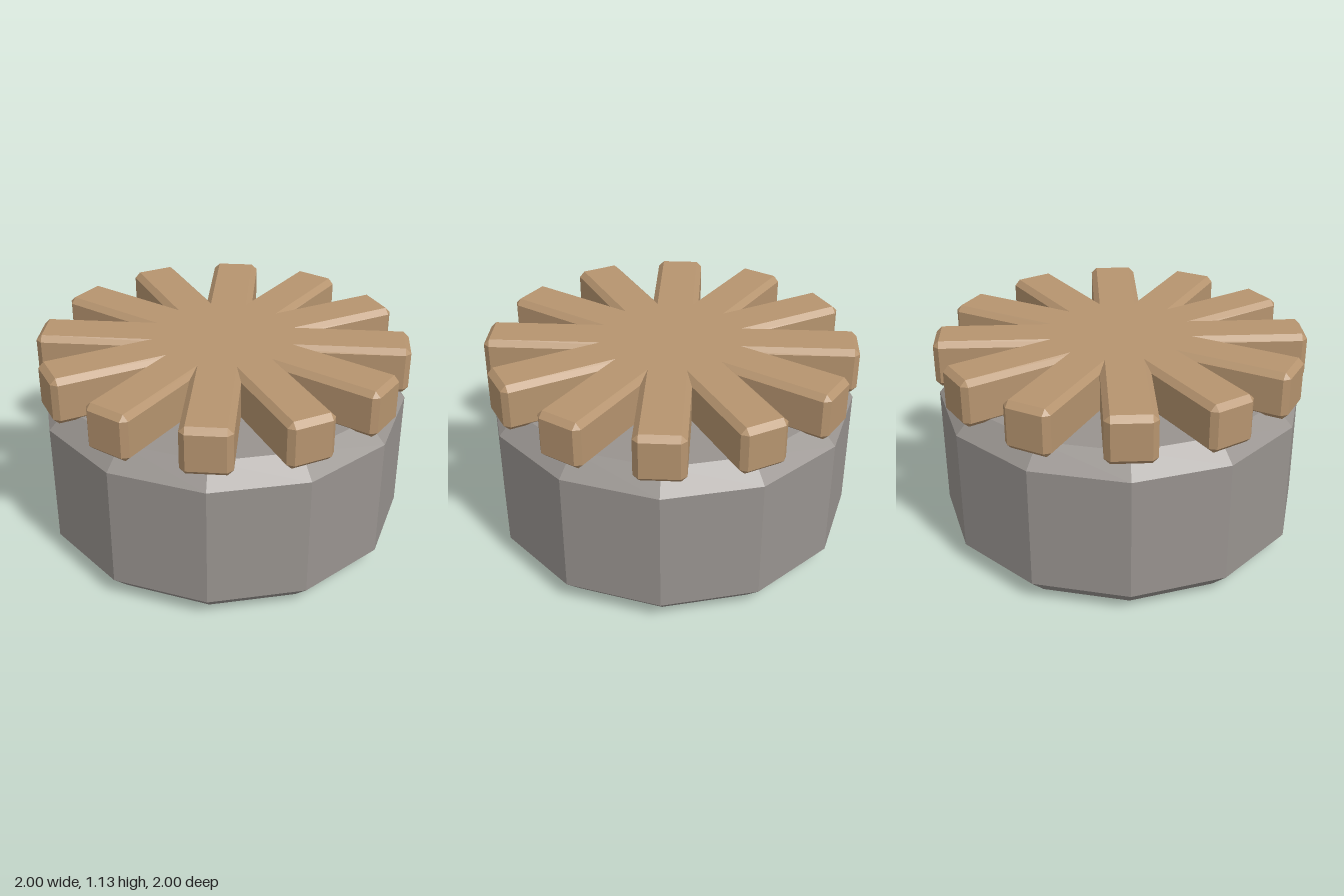
import * as THREE from 'three';
import { ConvexGeometry } from 'three/addons/geometries/ConvexGeometry.js';

// Box with every edge and corner cut at 45 degrees
function chamferedBox(w, h, d, c) {
  const points = [];
  for (const sx of [-1, 1]) for (const sy of [-1, 1]) for (const sz of [-1, 1]) {
    const x = w / 2, y = h / 2, z = d / 2;
    points.push(
      new THREE.Vector3(sx * x, sy * (y - c), sz * (z - c)),
      new THREE.Vector3(sx * (x - c), sy * y, sz * (z - c)),
      new THREE.Vector3(sx * (x - c), sy * (y - c), sz * z)
    );
  }
  return new ConvexGeometry(points);
}

export function createModel() {
  const model = new THREE.Group();
  model.name = 'spokedDrum';

  const stone = new THREE.MeshStandardMaterial({ color: 0x98938f, flatShading: true });
  stone.name = 'stone grey';
  const wood = new THREE.MeshStandardMaterial({ color: 0xb6946f, flatShading: true });
  wood.name = 'wood brown';

  // Twelve-sided drum, bevelled at top and bottom
  const profile = [[0, 0], [0.89, 0], [1, 0.11], [1, 0.785], [0.89, 0.895], [0, 0.895]]
    .map(([r, y]) => new THREE.Vector2(r, y));
  const drum = new THREE.Mesh(new THREE.LatheGeometry(profile, 12), stone);
  drum.name = 'drum';
  model.add(drum);

  // Six crossed bars make the twelve spokes
  const spokes = new THREE.Group();
  spokes.name = 'spokes';
  spokes.position.y = 1.005;
  const barGeometry = chamferedBox(0.26, 0.26, 2, 0.03);
  for (let i = 0; i < 6; i++) {
    const bar = new THREE.Mesh(barGeometry, wood);
    bar.name = `spokeBar${i + 1}`;
    bar.rotation.y = (i * Math.PI) / 6;
    spokes.add(bar);
  }
  model.add(spokes);

  return model;
}
